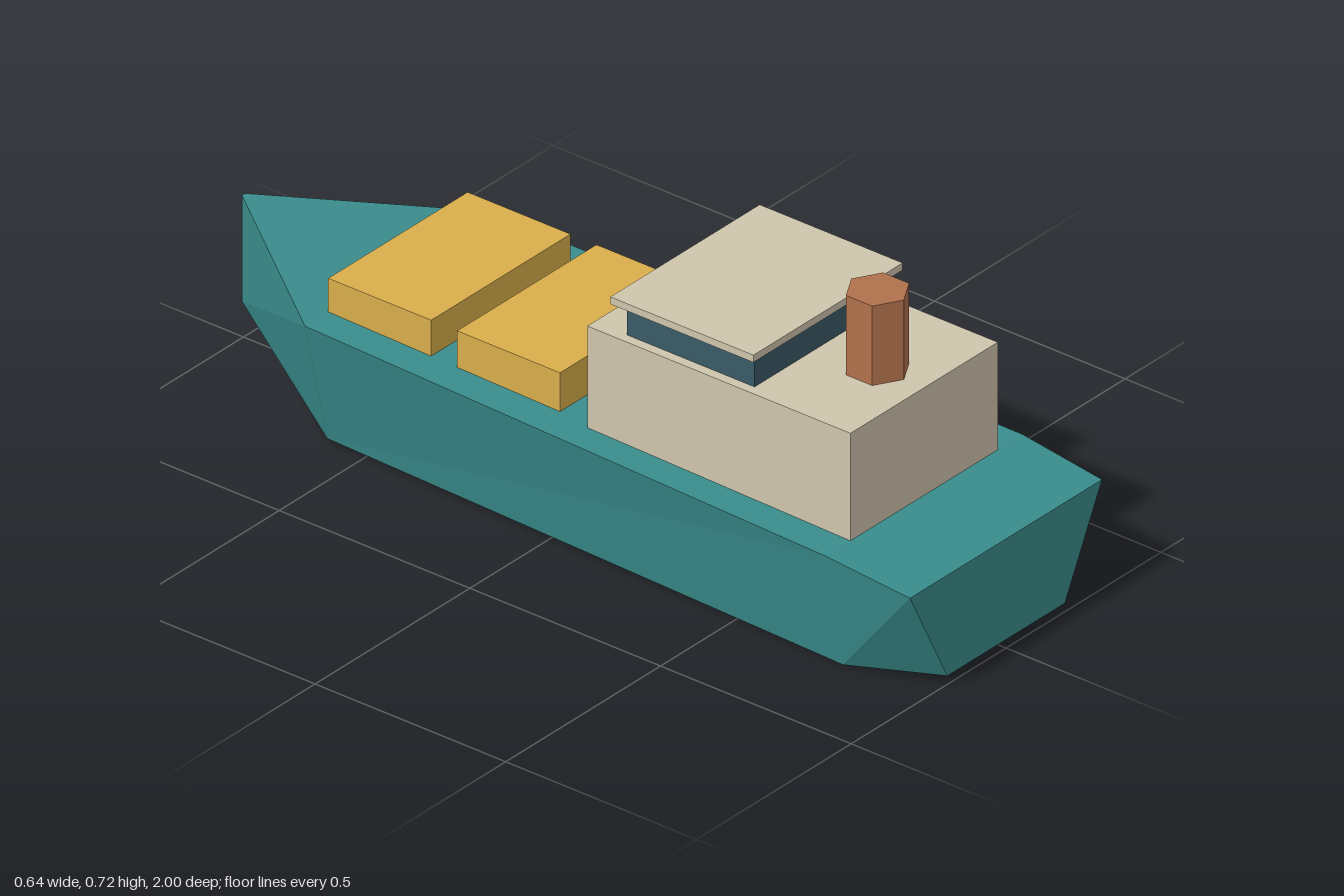
import * as THREE from 'three';

const paint = (color) => new THREE.MeshStandardMaterial({ color, flatShading: true });

// Faceted hull lofted through four-cornered stations, stern to bow
function hullGeometry() {
  // z, deck half width, deck height, keel half width, keel height
  const stations = [
    [1, 0.31, 0.257, 0.19, 0.02],
    [0.785, 0.318, 0.281, 0.262, 0],
    [-0.595, 0.3, 0.309, 0.228, 0.012],
    [-1, 0.005, 0.336, 0.005, 0.086],
  ];
  const rings = stations.map(([z, dw, dy, kw, ky]) =>
    [[-dw, dy, z], [-kw, ky, z], [kw, ky, z], [dw, dy, z]]);
  const points = [];
  const quad = (a, b, c, d) => points.push(...a, ...b, ...c, ...a, ...c, ...d);
  for (let i = 0; i < rings.length - 1; i++) {
    for (let k = 0; k < 4; k++) {
      const n = (k + 1) % 4;
      quad(rings[i][k], rings[i + 1][k], rings[i + 1][n], rings[i][n]);
    }
  }
  quad(...rings[0]); // transom
  quad(...[...rings[rings.length - 1]].reverse()); // stem
  const geometry = new THREE.BufferGeometry();
  geometry.setAttribute('position', new THREE.Float32BufferAttribute(points, 3));
  geometry.computeVertexNormals();
  return geometry;
}

export function createModel() {
  const ship = new THREE.Group();
  ship.name = 'cargoShip';
  const teal = paint(0x3a8c8c);
  const cream = paint(0xcfc5ad);
  const yellow = paint(0xd9ae4b);
  const glass = paint(0x3a5a66);
  const rust = paint(0xb0714c);

  const add = (name, geometry, material, y, z) => {
    const mesh = new THREE.Mesh(geometry, material);
    mesh.name = name;
    mesh.position.set(0, y, z);
    ship.add(mesh);
  };
  // Box given by half width, bottom, top, front and back limits
  const box = (name, material, halfWidth, y0, y1, z0, z1) =>
    add(name, new THREE.BoxGeometry(halfWidth * 2, y1 - y0, z1 - z0), material, (y0 + y1) / 2, (z0 + z1) / 2);

  add('hull', hullGeometry(), teal, 0, 0);

  // Cargo hatches on the foredeck
  box('aftHatch', yellow, 0.225, 0.28, 0.388, -0.257, 0.013);
  box('foreHatch', yellow, 0.225, 0.28, 0.388, -0.595, -0.325);

  // Superstructure
  box('deckhouse', cream, 0.238, 0.28, 0.534, 0.095, 0.785);
  box('bridge', glass, 0.215, 0.534, 0.61, 0.18, 0.515);
  box('bridgeRoof', cream, 0.241, 0.61, 0.627, 0.158, 0.533);

  // Six-sided funnel
  add('funnel', new THREE.CylinderGeometry(0.069, 0.069, 0.187, 6), rust, 0.6275, 0.663);

  return ship;
}
